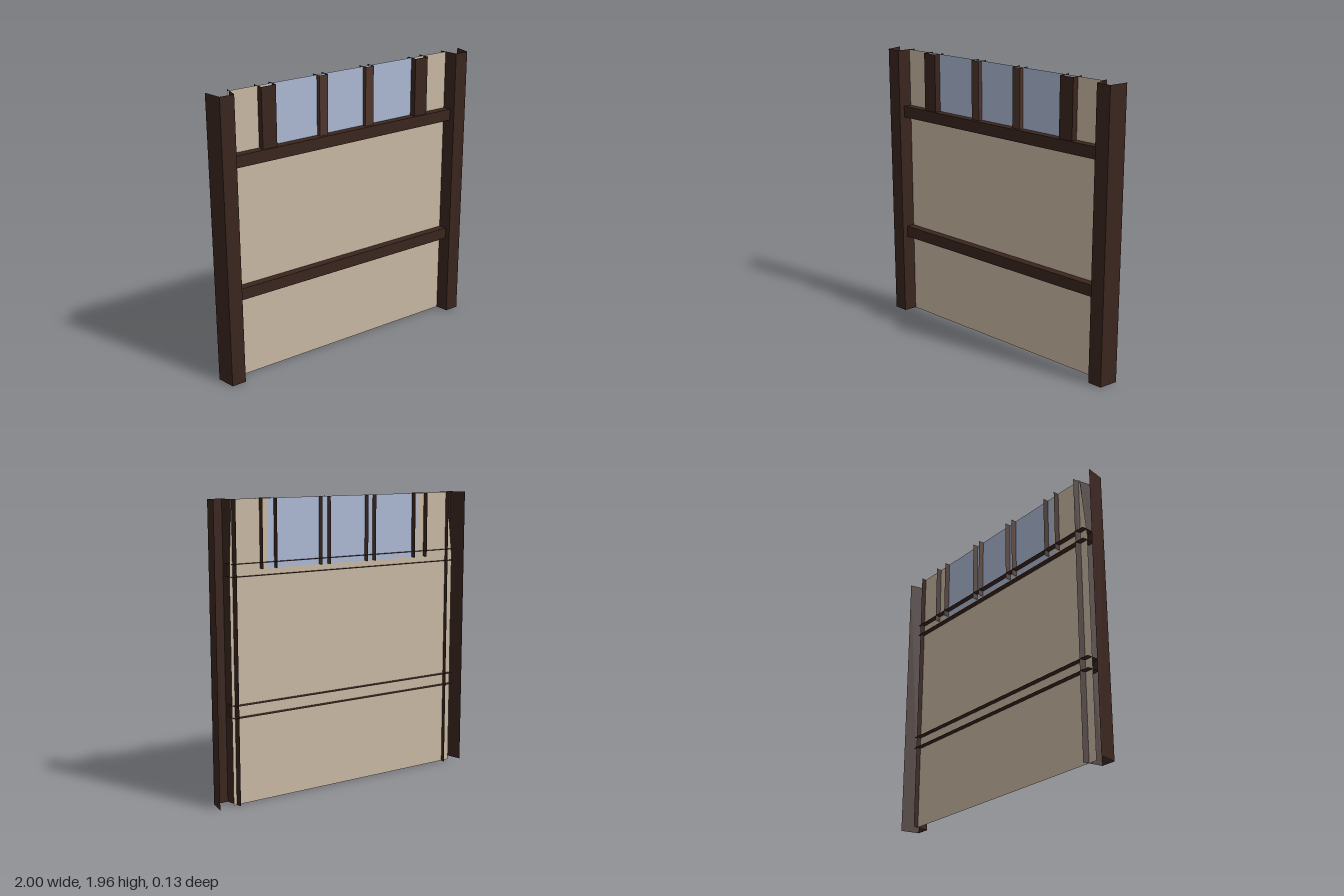
import * as THREE from 'three';

const HEIGHT = 1.96, BACK = -0.065, PANEL_Z = -0.025;

const material = (color) => new THREE.MeshStandardMaterial({ color, side: THREE.DoubleSide });

// Open sheet: sweeps a profile of [u, v] points from a to b; place(u, v, t) maps to x, y, z
function sheet(profile, a, b, place) {
  const positions = [];
  for (let i = 0; i < profile.length - 1; i++) {
    const [p, q] = [profile[i], profile[i + 1]];
    const [A, B, C, D] = [place(...p, a), place(...q, a), place(...q, b), place(...p, b)];
    positions.push(...A, ...B, ...C, ...A, ...C, ...D);
  }
  const geometry = new THREE.BufferGeometry();
  geometry.setAttribute('position', new THREE.Float32BufferAttribute(positions, 3));
  geometry.computeVertexNormals();
  return geometry;
}

const upright = (x, z, y) => [x, y, z];
const level = (y, z, x) => [x, y, z];

export function createModel() {
  const group = new THREE.Group();
  const darkWood = material(0x3a251e);
  const lightWood = material(0x4d352b);
  const plaster = material(0xc8b8a3);
  const glass = material(0xacb9d4);

  const add = (name, geometry, mat) => {
    const mesh = new THREE.Mesh(geometry, mat);
    mesh.name = name;
    group.add(mesh);
    return mesh;
  };

  // Corner posts: channels open at the back, with splayed sides
  for (const [name, s] of [['leftPost', 1], ['rightPost', -1]]) {
    const profile = [[0.85, BACK], [0.875, 0.065], [0.975, 0.065], [1, BACK]]
      .map(([x, z]) => [x * s, z]);
    // Listed counter-clockwise seen from above so that faces point outwards
    if (s > 0) add(name, sheet(profile, 0, HEIGHT, upright), darkWood);
    else add(name, sheet(profile.reverse(), 0, HEIGHT, upright), darkWood);
  }

  // Horizontal beams: channels open at the back, ends tucked into the posts
  for (const [name, y] of [['lowerBeam', 0.58], ['upperBeam', 1.48]]) {
    const profile = [[y + 0.08, BACK], [y + 0.08, 0.03], [y, 0.03], [y, BACK]];
    add(name, sheet(profile, -0.92, 0.88, level), darkWood);
  }

  // Window uprights: wide ones at the sides, narrow ones between the panes
  const uprights = [
    ['windowJamb', -0.607, 0.105, 0.02, darkWood],
    ['windowMullion', -0.187, 0.065, 0.005, lightWood],
    ['windowMullion', 0.18, 0.065, 0.005, lightWood],
    ['windowJamb', 0.607, 0.105, 0.02, darkWood],
  ];
  for (const [name, x, width, front, mat] of uprights) {
    const [l, r] = [x - width / 2, x + width / 2];
    add(name, sheet([[l, BACK], [l, front], [r, front], [r, BACK]], 1.52, HEIGHT, upright), mat);
  }

  // Wall panel around the window opening
  const wall = new THREE.Shape([
    [-0.92, 0], [0.88, 0], [0.88, 1.52], [0.86, HEIGHT], [0.6, HEIGHT],
    [0.6, 1.52], [-0.6, 1.52], [-0.6, HEIGHT], [-0.87, HEIGHT], [-0.92, 1.52],
  ].map(([x, y]) => new THREE.Vector2(x, y)));
  add('wallPanel', new THREE.ShapeGeometry(wall), plaster).position.z = PANEL_Z;

  // Window glass
  add('windowGlass', new THREE.PlaneGeometry(1.2, HEIGHT - 1.52), glass)
    .position.set(0, (HEIGHT + 1.52) / 2, PANEL_Z);

  return group;
}
